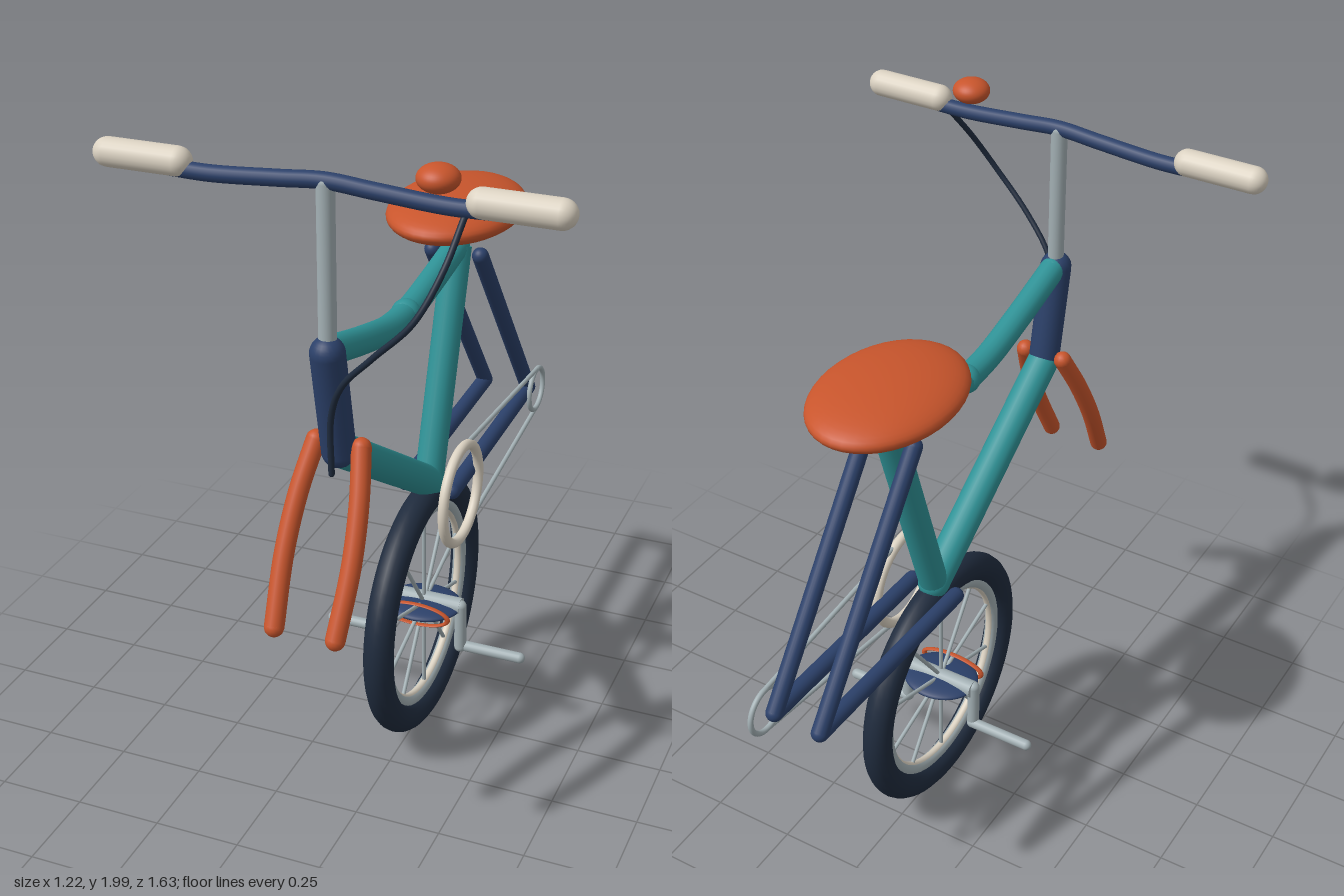
import * as THREE from 'three';

const mat = (name, color) => {
  const m = new THREE.MeshStandardMaterial({ color });
  m.name = name;
  return m;
};
const V = (x, y, z) => new THREE.Vector3(x, y, z);

export function createModel() {
  const teal = mat('teal paint', 0x2f9296);
  const navy = mat('navy paint', 0x2b4069);
  const orange = mat('burnt orange', 0xc8552c);
  const cream = mat('cream', 0xdbd2c2);
  const steel = mat('pale steel', 0xa3b0b4);
  const rubber = mat('dark rubber', 0x1f2b3d);

  const model = new THREE.Group();
  model.name = 'bicycle';

  const add = (name, geometry, material, pos = [0, 0, 0], parent = model) => {
    const mesh = new THREE.Mesh(geometry, material);
    mesh.name = name;
    mesh.position.set(...pos);
    parent.add(mesh);
    return mesh;
  };
  // straight round bar between two points; capped gives it rounded ends
  const bar = (name, a, b, r, material, capped = false, parent = model) => {
    const d = b.clone().sub(a), len = d.length();
    const geo = capped ? new THREE.CapsuleGeometry(r, len, 8, 20) : new THREE.CylinderGeometry(r, r, len, 20);
    const mesh = add(name, geo, material, a.clone().add(b).multiplyScalar(0.5).toArray(), parent);
    mesh.quaternion.setFromUnitVectors(V(0, 1, 0), d.normalize());
    return mesh;
  };
  const bentTube = (name, pts, r, material, capped = true) => {
    const curve = new THREE.CatmullRomCurve3(pts);
    const mesh = add(name, new THREE.TubeGeometry(curve, 48, r, 16), material);
    if (capped) for (const p of [pts[0], pts[pts.length - 1]]) {
      add(name + 'End', new THREE.SphereGeometry(r, 16, 12), material, p.toArray());
    }
    return mesh;
  };
  const ellipsoid = (name, rx, ry, rz, material, pos) => {
    const geo = new THREE.SphereGeometry(1, 40, 24).scale(rx, ry, rz);
    return add(name, geo, material, pos);
  };
  // ring lying in the side (yz) plane
  const ring = (name, R, r, material, pos, parent = model) =>
    add(name, new THREE.TorusGeometry(R, r, 16, 64).rotateY(Math.PI / 2), material, pos, parent);

  // wheel
  const wheel = new THREE.Group();
  wheel.name = 'wheel';
  wheel.position.set(0, 0.4, -0.022);
  model.add(wheel);
  ring('tire', 0.348, 0.043, rubber, [0, 0, 0], wheel);
  ring('rim', 0.3, 0.02, steel, [0, 0, 0], wheel);
  ring('rimLiner', 0.289, 0.012, cream, [0, 0, 0], wheel);
  for (let i = 0; i < 10; i++) {
    const t = (i / 10) * Math.PI * 2;
    bar('spoke', V(0, 0, 0), V(0, Math.cos(t) * 0.29, Math.sin(t) * 0.29), 0.006, steel, false, wheel);
  }

  // hub, cranks and pedals
  bar('axle', V(-0.115, 0.405, -0.03), V(0.115, 0.405, -0.03), 0.026, steel);
  ellipsoid('hubDisc', 0.115, 0.02, 0.1, navy, [0, 0.398, -0.022]);
  add('hubRing', new THREE.TorusGeometry(0.1, 0.008, 10, 40).scale(1, 0.34, 1), orange, [0, 0.398, 0.045]);
  for (const s of [-1, 1]) {
    bar('crank', V(s * 0.115, 0.41, -0.025), V(s * 0.115, 0.27, -0.025), 0.018, steel, true);
    bar('pedal', V(s * 0.115, 0.27, -0.03), V(s * 0.3, 0.27, -0.03), 0.016, steel, true);
  }

  // main frame
  const bottom = V(0, 0.79, -0.06), seatTop = V(0, 1.44, -0.275);
  bentTube('topTube', [V(0, 1.49, 0.59), V(0, 1.435, 0.4), V(0, 1.393, 0.22), V(0, 1.388, 0.1),
    V(0, 1.405, -0.05), seatTop], 0.037, teal);
  add('topTubeJoint', new THREE.SphereGeometry(0.041, 20, 14), teal, [0, 1.388, 0.11]);
  bar('downTube', V(0, 1.2, 0.555), bottom, 0.046, teal, true);
  bar('seatTube', bottom, seatTop, 0.042, teal);
  bar('headTube', V(0, 1.49, 0.612), V(0, 1.2, 0.56), 0.045, navy, true);

  // saddle
  bar('seatPost', V(0, 1.42, -0.27), V(0, 1.54, -0.29), 0.024, steel);
  ellipsoid('saddle', 0.187, 0.06, 0.261, orange, [0, 1.555, -0.272]);

  // fork blades and rear stays
  for (const s of [-1, 1]) {
    bentTube('forkBlade', [V(s * 0.062, 1.22, 0.56), V(s * 0.083, 1.1, 0.628), V(s * 0.092, 0.96, 0.704),
      V(s * 0.084, 0.795, 0.792)], 0.026, orange);
    bar('seatStay', V(s * 0.072, 1.42, -0.27), V(s * 0.072, 0.797, -0.738), 0.024, navy, true);
    bar('chainStay', V(s * 0.072, 0.772, -0.06), V(s * 0.072, 0.797, -0.738), 0.024, navy, true);
  }

  // drivetrain
  ring('chainring', 0.145, 0.015, cream, [0.1, 0.77, -0.058]);
  ring('rearSprocket', 0.068, 0.008, steel, [0.1, 0.795, -0.737]);
  bar('chainUpper', V(0.1, 0.913, -0.09), V(0.1, 0.864, -0.737), 0.007, steel);
  bar('chainLower', V(0.1, 0.634, -0.09), V(0.1, 0.726, -0.737), 0.007, steel);

  // handlebar
  bar('stem', V(0, 1.48, 0.61), V(0, 1.918, 0.6), 0.023, steel, true);
  bentTube('handlebar', [V(-0.42, 1.905, 0.6), V(-0.3, 1.903, 0.6), V(-0.12, 1.915, 0.6), V(0, 1.924, 0.6),
    V(0.12, 1.915, 0.6), V(0.3, 1.903, 0.6), V(0.42, 1.905, 0.6)], 0.021, navy);
  for (const s of [-1, 1]) {
    bar('grip', V(s * 0.384, 1.922, 0.6), V(s * 0.572, 1.922, 0.6), 0.037, cream, true);
  }
  ellipsoid('bell', 0.052, 0.034, 0.052, orange, [0.28, 1.968, 0.602]);

  // brake cable
  bentTube('brakeCable', [V(0.345, 1.89, 0.6), V(0.325, 1.78, 0.69), V(0.275, 1.67, 0.742), V(0.17, 1.56, 0.738),
    V(0.08, 1.46, 0.712), V(0.04, 1.36, 0.688), V(0.033, 1.2, 0.678)], 0.008, rubber);

  return model;
}
